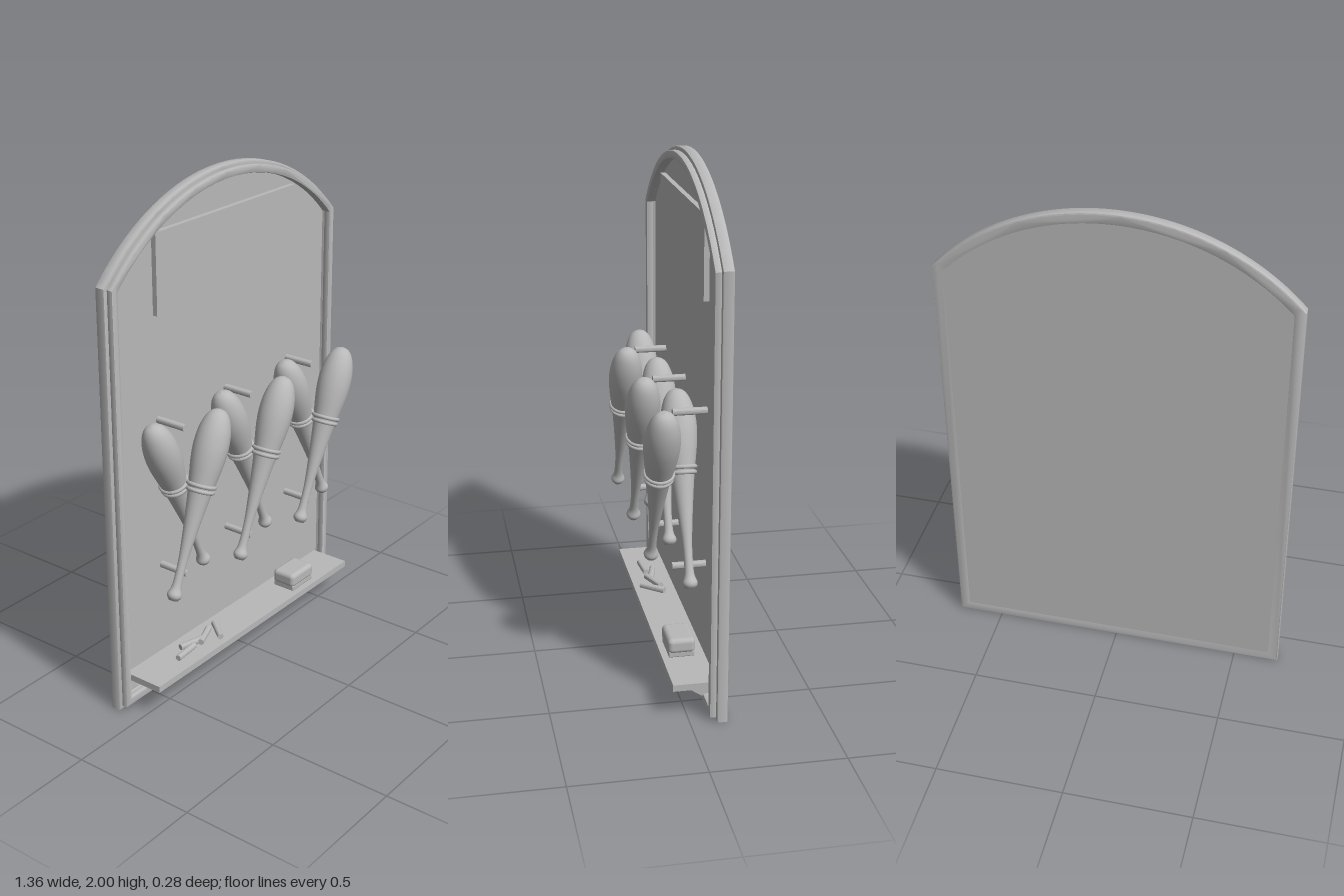
import * as THREE from 'three';
import { toCreasedNormals } from 'three/addons/utils/BufferGeometryUtils.js';
import { RoundedBoxGeometry } from 'three/addons/geometries/RoundedBoxGeometry.js';

const grey = new THREE.MeshStandardMaterial({ color: 0xb8b8b8 });
grey.name = 'plain grey';

const HALF = 0.68, ARC_Y = 1.079, ARC_R = 0.921;

function add(parent, name, geometry, x = 0, y = 0, z = 0) {
  const mesh = new THREE.Mesh(geometry, grey);
  mesh.name = name;
  mesh.position.set(x, y, z);
  parent.add(mesh);
  return mesh;
}

// Arched outline, moved inwards by an inset
function trace(path, inset) {
  const w = HALF - inset, r = ARC_R - inset;
  const a = Math.acos(w / r);
  path.moveTo(-w, inset);
  path.lineTo(w, inset);
  path.lineTo(w, ARC_Y + r * Math.sin(a));
  path.absarc(0, ARC_Y, r, a, Math.PI - a, false);
  path.closePath();
  return path;
}

// Arched slab or ring between two depths
function arched(outer, inner, z0, z1, bevel) {
  const shape = trace(new THREE.Shape(), outer);
  if (inner !== null) shape.holes.push(trace(new THREE.Path(), inner));
  const g = new THREE.ExtrudeGeometry(shape, {
    depth: z1 - z0 - 2 * bevel, curveSegments: 32,
    bevelEnabled: bevel > 0, bevelThickness: bevel, bevelSize: bevel,
    bevelOffset: -bevel, bevelSegments: 2,
  });
  g.translate(0, 0, z0 + bevel);
  return toCreasedNormals(g, 0.6);
}

// Club turned around its own axis: knob, handle, collar and head
function clubGeometry() {
  const outline = new THREE.SplineCurve([
    [0.026, 0.012], [0.028, 0.025], [0.019, 0.05], [0.0165, 0.09], [0.018, 0.16],
    [0.026, 0.25], [0.037, 0.35], [0.046, 0.42], [0.054, 0.47], [0.063, 0.53],
    [0.067, 0.59], [0.062, 0.65], [0.047, 0.7], [0.026, 0.728], [0, 0.737],
  ].map(([r, s]) => new THREE.Vector2(r, s)));
  const points = [new THREE.Vector2(0, 0), new THREE.Vector2(0.018, 0.001), ...outline.getPoints(56)];
  points.forEach((p) => { p.x = Math.max(p.x, 0); });
  return new THREE.LatheGeometry(points, 32);
}

export function createModel() {
  const model = new THREE.Group();
  model.name = 'clubWallBoard';

  // Board, outer frame and raised moulding
  add(model, 'backPanel', arched(0.02, null, -0.139, -0.11, 0));
  add(model, 'outerFrame', arched(0, 0.045, -0.14, -0.098, 0.007));
  add(model, 'innerMoulding', arched(0.015, 0.046, -0.102, -0.074, 0.006));
  add(model, 'signPlate', new THREE.BoxGeometry(0.83, 0.31, 0.02), 0, 1.685, -0.1);

  // Three pairs of crossed clubs, each between two pegs
  const clubShape = clubGeometry();
  const collar = new THREE.TorusGeometry(0.048, 0.008, 10, 32).rotateX(Math.PI / 2);
  const peg = toCreasedNormals(new THREE.CylinderGeometry(0.0135, 0.0135, 0.13, 16).rotateX(Math.PI / 2), 0.6);
  for (const x of [-0.4, 0, 0.4]) {
    for (const [name, side, z] of [['frontClub', 1, 0.071], ['rearClub', -1, -0.022]]) {
      const club = new THREE.Group();
      club.name = name;
      club.position.set(x - side * 0.15, 0.487, z);
      club.rotation.z = -side * 0.403;
      add(club, 'clubBody', clubShape);
      add(club, 'lowerCollar', collar, 0, 0.425);
      add(club, 'upperCollar', collar, 0, 0.445).scale.set(1.05, 1, 1.05);
      model.add(club);
    }
    add(model, 'upperPeg', peg, x, 1.12, -0.047);
    add(model, 'lowerPeg', peg, x, 0.515, -0.047);
  }

  // Shelf on two triangular brackets
  add(model, 'shelf', new THREE.BoxGeometry(1.245, 0.026, 0.167), 0, 0.125, -0.0285);
  const triangle = new THREE.Shape();
  triangle.moveTo(-0.111, 0.112);
  triangle.lineTo(-0.111, 0.035);
  triangle.lineTo(-0.074, 0.035);
  triangle.lineTo(0.04, 0.112);
  triangle.closePath();
  const bracket = new THREE.ExtrudeGeometry(triangle, { depth: 0.022, bevelEnabled: false });
  bracket.translate(0, 0, -0.011).rotateY(-Math.PI / 2);
  for (const side of [-1, 1]) add(model, 'bracket', bracket, side * 0.528, 0, 0);

  // Chalk sticks lying on the shelf
  const chalk = toCreasedNormals(new THREE.CylinderGeometry(0.012, 0.0135, 0.11, 14).rotateZ(Math.PI / 2), 0.6);
  [[-0.385, -0.01, 0.1], [-0.32, -0.035, -0.25], [-0.245, -0.03, 0.4], [-0.182, -0.015, 0.9]]
    .forEach(([x, z, turn]) => { add(model, 'chalkStick', chalk, x, 0.1515, z).rotation.y = turn; });

  // Eraser with felt below and a rounded grip above
  add(model, 'eraserFelt', new RoundedBoxGeometry(0.14, 0.024, 0.1, 2, 0.005), 0.34, 0.149, -0.02);
  add(model, 'eraserGrip', new RoundedBoxGeometry(0.15, 0.06, 0.106, 4, 0.018), 0.34, 0.182, -0.02);

  return model;
}
